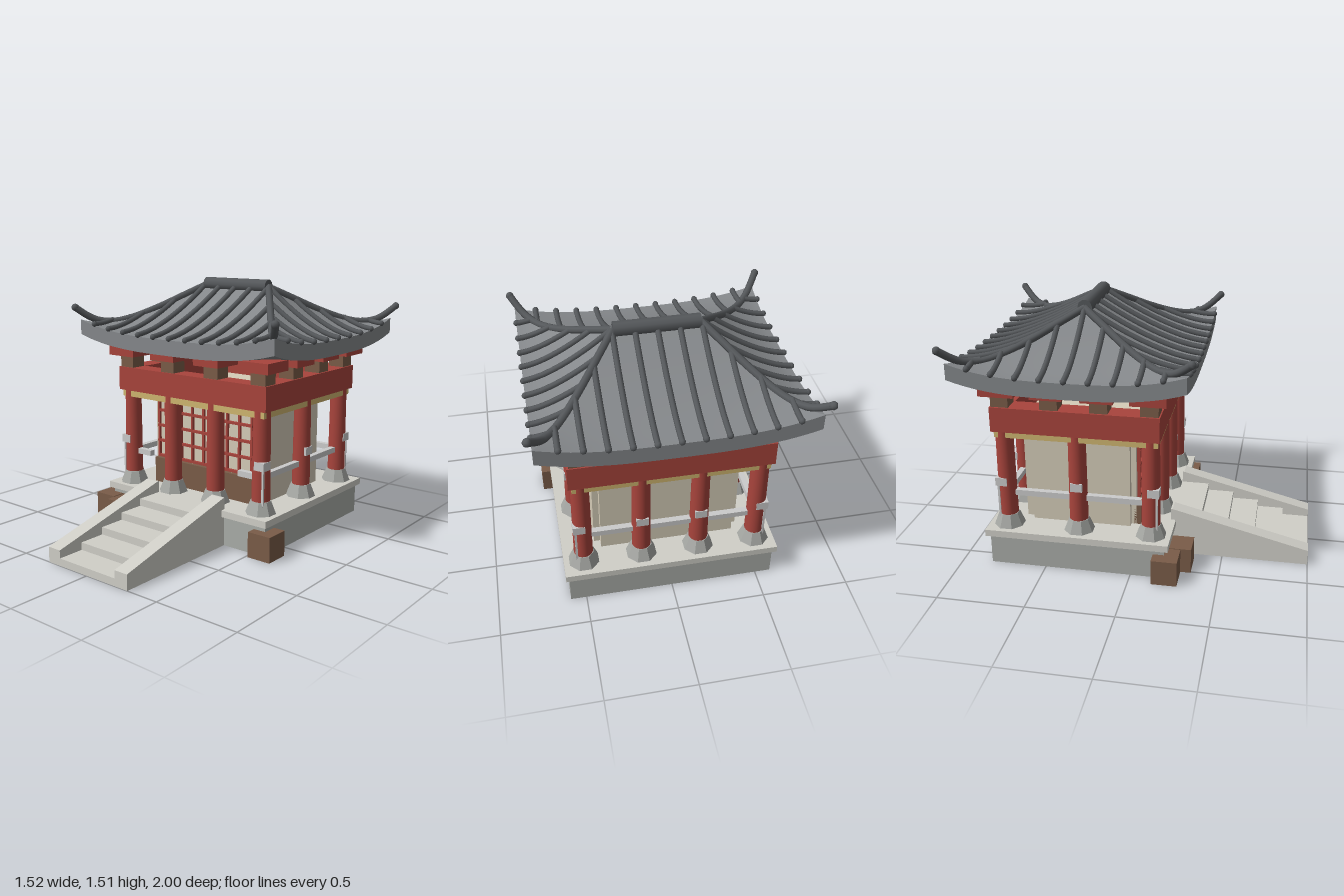
import * as THREE from 'three';

const mat = (color, extra = {}) => new THREE.MeshStandardMaterial({ color, ...extra });
const M = {
  stone: mat(0xaaada8), pale: mat(0xd0cfc8), red: mat(0xa8443c), brown: mat(0x7a5c48),
  plaster: mat(0xd5ccb8), gold: mat(0xcfb670), rail: mat(0xc8c8c6),
  tile: mat(0x85888b), ridge: mat(0x55585b), footing: mat(0xa6a8a4, { flatShading: true }),
};
const CZ = -0.315; // middle of the building

function add(parent, name, geo, material, x = 0, y = 0, z = 0) {
  const mesh = new THREE.Mesh(geo, material);
  mesh.name = name;
  mesh.position.set(x, y, z);
  parent.add(mesh);
  return mesh;
}
// box given by its bottom and top heights
const box = (parent, name, material, x, z, w, d, y0, y1) =>
  add(parent, name, new THREE.BoxGeometry(w, y1 - y0, d), material, x, (y0 + y1) / 2, z);

// smooth sheet of (n x m) cells, fn(u, v) -> [x, y, z]; front faces du x dv
function sheet(fn, n, m) {
  const pos = [], idx = [];
  for (let i = 0; i <= n; i++) for (let j = 0; j <= m; j++) pos.push(...fn(i / n, j / m));
  for (let i = 0; i < n; i++) for (let j = 0; j < m; j++) {
    const a = i * (m + 1) + j, b = a + m + 1;
    idx.push(a, b, a + 1, a + 1, b, b + 1);
  }
  const g = new THREE.BufferGeometry();
  g.setAttribute('position', new THREE.Float32BufferAttribute(pos, 3));
  g.setIndex(idx);
  g.computeVertexNormals();
  return g;
}

function tube(parent, name, pts, r, n = 14) {
  const curve = new THREE.CatmullRomCurve3(pts);
  add(parent, name, new THREE.TubeGeometry(curve, n, r, 8), M.ridge);
  const end = pts[pts.length - 1];
  add(parent, name + 'End', new THREE.SphereGeometry(r * 1.1, 8, 6), M.ridge, end.x, end.y, end.z);
}

// roof: half ridge length, half eave width and depth
const RX = 0.235, EX = 0.72, EZ = 0.64;
const lift = (t, s) => 0.07 * t ** 4 * Math.abs(s) ** 3;
const roofY = (t, s) => 1.19 + 0.27 * (1 - t) ** 1.5 + lift(t, s);

function buildRoof(parent) {
  const roof = new THREE.Group();
  roof.name = 'roof';
  parent.add(roof);
  for (let k = 0; k < 4; k++) {
    const long = k % 2 === 0;
    const [ox, oz] = [[0, 1], [1, 0], [0, -1], [-1, 0]][k];
    const alongX = (t) => RX + (EX - RX) * t, alongZ = (t) => EZ * t;
    const out = long ? alongZ : alongX, half = long ? alongX : alongZ;
    // place a point by distance outwards and sideways
    const at = (o, l, y) => [ox * o + oz * l, y, oz * o - ox * l];
    const sv = (v) => v * 2 - 1, tv = (u) => 0.003 + 0.997 * u;
    const p = (t, s, y) => at(out(t), s * half(t), y);
    add(roof, 'roofSlope', sheet((u, v) => p(tv(u), sv(v), roofY(tv(u), sv(v))), 16, 24), M.tile);
    add(roof, 'eaveEdge', sheet((u, v) => p(1, sv(v), roofY(1, sv(v)) - 0.09 * u), 1, 24), M.tile);
    add(roof, 'soffit', sheet((u, v) => p(tv(1 - u), sv(v), 1.1 + lift(1 - u, sv(v))), 12, 24), M.tile);

    // tile ribs running down the slope
    const count = long ? 5 : 4, gap = long ? 0.12 : 0.13;
    for (let i = -count; i <= count; i++) {
      const l = i * gap;
      const t0 = Math.max(0.03, long ? (Math.abs(l) - RX) / (EX - RX) : Math.abs(l) / EZ);
      const pts = [];
      for (let j = 0; j <= 6; j++) {
        const t = t0 + (1 - t0) * j / 6;
        pts.push(new THREE.Vector3(...at(out(t), l, roofY(t, Math.min(1, l / half(t))) + 0.01)));
      }
      tube(roof, 'tileRib', pts, 0.016, 10);
    }
  }
  // hip ridges with upturned tips
  for (const sx of [-1, 1]) for (const sz of [-1, 1]) {
    const hip = [[0, 1.465], [0.2, 1.395], [0.4, 1.325], [0.6, 1.268], [0.75, 1.245], [0.88, 1.258], [0.96, 1.29], [1.04, 1.335]];
    tube(roof, 'hipRidge', hip.map(([t, y]) =>
      new THREE.Vector3(sx * (RX + (EX - RX) * t), y, sz * EZ * t)), 0.021, 24);
  }
  const top = add(roof, 'mainRidge', new THREE.CylinderGeometry(0.042, 0.042, RX * 2, 10), M.ridge, 0, 1.468, 0);
  top.rotation.z = Math.PI / 2;
}

function buildStairs(parent) {
  const stairs = new THREE.Group();
  stairs.name = 'stairs';
  parent.add(stairs);
  for (let k = 1; k <= 5; k++) {
    const z1 = 1 - 0.16 * (k - 1);
    box(stairs, 'step', M.pale, 0, z1 - 0.08, 0.43, 0.16, 0, 0.044 * k);
  }
  const side = new THREE.Shape([[0.19, 0], [1, 0], [1, 0.09], [0.2, 0.29], [0.19, 0.29]]
    .map(([z, y]) => new THREE.Vector2(z, y)));
  const geo = new THREE.ExtrudeGeometry(side, { depth: 0.09, bevelEnabled: false });
  geo.rotateY(-Math.PI / 2);
  add(stairs, 'stairSide', geo, M.pale, -0.21);
  add(stairs, 'stairSide', geo, M.pale, 0.3);
}

export function createModel() {
  const model = new THREE.Group();
  model.name = 'pavilion';
  const hall = new THREE.Group();
  hall.name = 'hall';
  hall.position.z = CZ;
  model.add(hall);

  // platform
  box(hall, 'platform', M.stone, 0, 0, 1.18, 1.02, 0, 0.18);
  box(hall, 'platformCap', M.pale, 0, 0, 1.22, 1.07, 0.18, 0.22);
  buildStairs(model);

  // crates on the ground
  for (const [x, z] of [[0.588, 0.18], [-0.59, 0.205], [-0.435, 0.265]])
    box(model, 'crate', M.brown, x, z, 0.148, 0.148, 0, 0.15);

  // room with lattice front
  box(hall, 'roomWalls', M.plaster, 0, -0.015, 0.77, 0.66, 0.22, 0.84);
  box(hall, 'roomSideWalls', M.plaster, 0, -0.005, 0.84, 0.58, 0.22, 0.84);
  box(hall, 'lowerPanel', M.brown, 0, 0.322, 0.77, 0.04, 0.22, 0.38);
  for (let i = -4; i <= 4; i++) box(hall, 'latticeUpright', M.red, i * 0.09, 0.325, 0.014, 0.016, 0.39, 0.8);
  for (let i = 0; i < 5; i++)
    box(hall, 'latticeBar', M.red, 0, 0.327, 0.734, 0.018, 0.388 + i * 0.098, 0.403 + i * 0.098);

  // columns on stone feet, with sleeves on the outside
  const CX = 0.495, DZ = 0.42;
  const places = [];
  for (const x of [-CX, -0.165, 0.165, CX]) places.push([x, DZ], [x, -DZ]);
  places.push([-CX, 0], [CX, 0]);
  const shaft = new THREE.CylinderGeometry(0.05, 0.054, 0.56, 20);
  const foot = new THREE.CylinderGeometry(0.06, 0.09, 0.075, 8);
  foot.rotateY(Math.PI / 8);
  for (const [x, z] of places) {
    add(hall, 'column', shaft, M.red, x, 0.55, z);
    add(hall, 'columnFoot', foot, M.footing, x, 0.2575, z);
    const sx = Math.abs(x) > 0.4 ? Math.sign(x) : 0, sz = Math.sign(z);
    if (sx === 0 && sz > 0) continue; // entrance stays clear
    box(hall, 'railBlock', M.rail, x + sx * 0.02, z + sz * 0.02, 0.068, 0.068, 0.48, 0.53);
    if (sx && sz) box(hall, 'railPost', M.rail, x + sx * 0.04, z + sz * 0.04, 0.012, 0.012, 0.26, 0.48);
  }

  // railings
  for (const s of [-1, 1]) {
    box(hall, 'sideRail', M.rail, s * CX, 0, 0.034, DZ * 2, 0.411, 0.445);
    box(hall, 'frontRail', M.rail, s * 0.415, DZ, 0.15, 0.034, 0.411, 0.445);
  }
  box(hall, 'backRail', M.rail, 0, -DZ, CX * 2, 0.034, 0.411, 0.445);

  // lintels and beams
  for (const s of [-1, 1]) {
    box(hall, 'lintel', M.gold, 0, s * DZ, 1.08, 0.09, 0.78, 0.82);
    box(hall, 'sideLintel', M.gold, s * CX, 0, 0.09, 0.93, 0.78, 0.82);
    box(hall, 'beam', M.red, 0, s * DZ, 1.1, 0.115, 0.82, 0.965);
    box(hall, 'sideBeam', M.red, s * 0.5, 0, 0.118, 0.955, 0.82, 0.965);
  }

  // bracket blocks between beams and eaves
  for (let i = 0; i < 4; i++) for (let j = 0; j < 4; j++) {
    if (i % 3 && j % 3) continue;
    const x = (i - 1.5) * 0.332, z = (j - 1.5) * 0.28;
    box(hall, 'bracketBase', M.brown, x, z, 0.1, 0.1, 0.965, 1.04);
    box(hall, 'bracketCap', M.red, x, z, i % 3 ? 0.18 : 0.2, j % 3 ? 0.18 : 0.2, 1.04, 1.1);
  }

  buildRoof(hall);
  return model;
}
